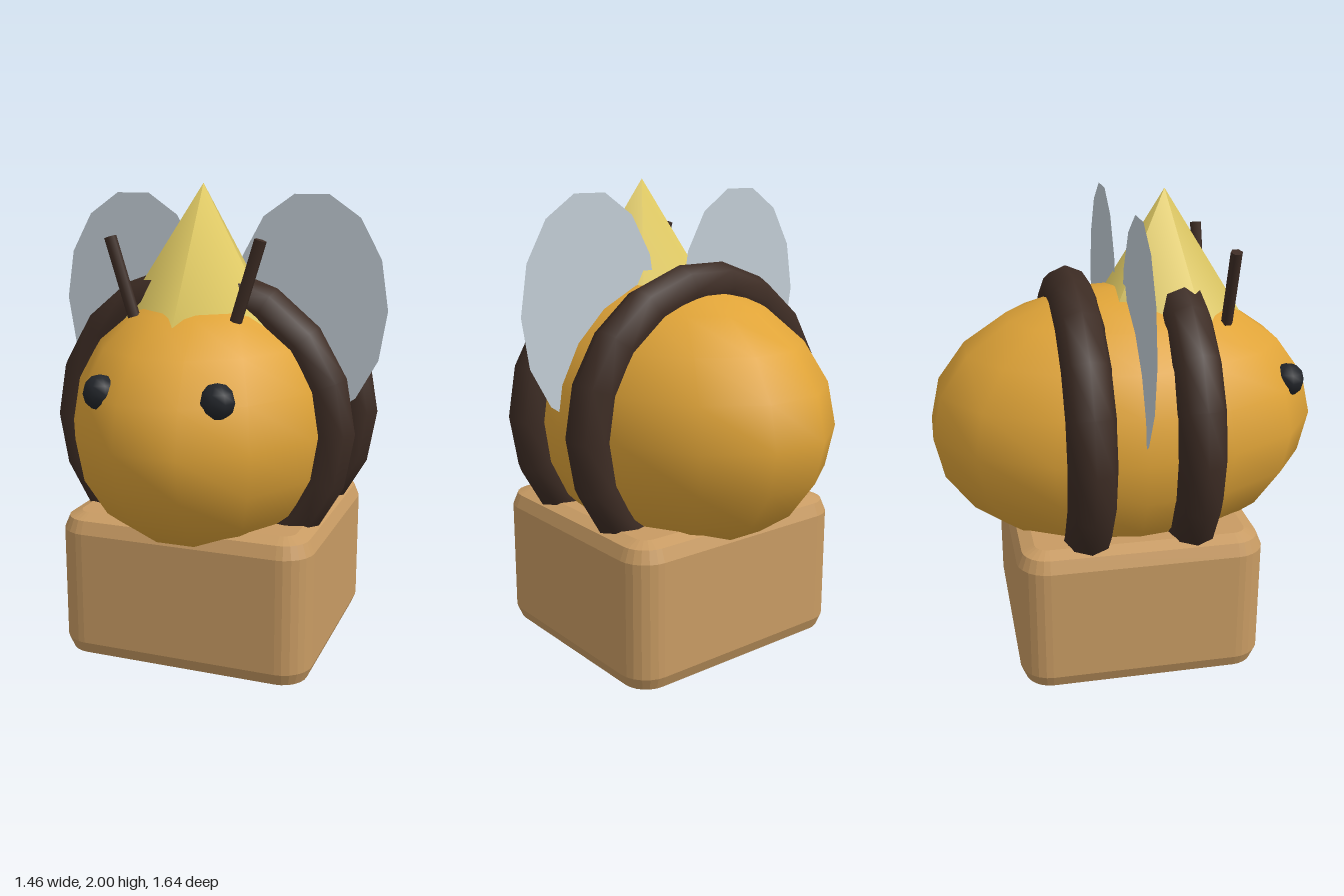
import * as THREE from 'three';

const mat = (name, color, side = THREE.FrontSide) => {
  const m = new THREE.MeshStandardMaterial({ color, side });
  m.name = name;
  return m;
};

export function createModel() {
  const group = new THREE.Group();
  const wood = mat('wood', 0xc89b63);
  const honey = mat('honey', 0xe0a438);
  const brown = mat('dark brown', 0x3d2c24);
  const gold = mat('pale gold', 0xe0ca64);
  const black = mat('black', 0x22252a);
  const wingGrey = mat('wing grey', 0xc2cdd5, THREE.DoubleSide);

  const add = (name, geometry, material, x, y, z) => {
    const mesh = new THREE.Mesh(geometry, material);
    mesh.name = name;
    mesh.position.set(x, y, z);
    group.add(mesh);
    return mesh;
  };

  // Block base: rounded rectangle extruded upwards with a soft bevel
  const bevel = 0.075, r = 0.055, hw = 0.55 - bevel, hd = 0.52 - bevel;
  const outline = new THREE.Shape();
  outline.absarc(hw - r, hd - r, r, 0, Math.PI / 2);
  outline.absarc(-hw + r, hd - r, r, Math.PI / 2, Math.PI);
  outline.absarc(-hw + r, -hd + r, r, Math.PI, Math.PI * 1.5);
  outline.absarc(hw - r, -hd + r, r, Math.PI * 1.5, Math.PI * 2);
  const block = new THREE.ExtrudeGeometry(outline, {
    depth: 0.64 - 2 * bevel, curveSegments: 3,
    bevelEnabled: true, bevelThickness: bevel, bevelSize: bevel, bevelSegments: 2,
  });
  block.rotateX(-Math.PI / 2);
  add('base', block, wood, 0, bevel, 0);

  // Plump body, longest from front to back
  add('body', new THREE.SphereGeometry(1, 14, 10).scale(0.58, 0.58, 0.84), honey, 0, 1.02, 0);

  // Two stripe rings around the body
  for (const [name, z] of [['frontStripe', 0.22], ['backStripe', -0.22]]) {
    add(name, new THREE.TorusGeometry(0.56, 0.1, 8, 18), brown, 0, 1.02, z);
  }

  // Five-sided pointed hat
  add('hat', new THREE.ConeGeometry(0.35, 0.55, 5), gold, 0, 1.725, 0.18);

  // Mirrored eyes, antennae and flat wings
  for (const [side, s] of [['left', 1], ['right', -1]]) {
    add(side + 'Eye', new THREE.SphereGeometry(0.07, 8, 6), black, s * 0.24, 1.22, 0.672);
    const antenna = add(side + 'Antenna', new THREE.CylinderGeometry(0.025, 0.025, 0.33, 6),
      brown, s * 0.265, 1.635, 0.4);
    antenna.rotation.z = -s * 0.3;
    add(side + 'Wing', new THREE.CircleGeometry(1, 14).scale(0.33, 0.477, 1),
      wingGrey, s * 0.4, 1.49, -0.01);
  }
  return group;
}
